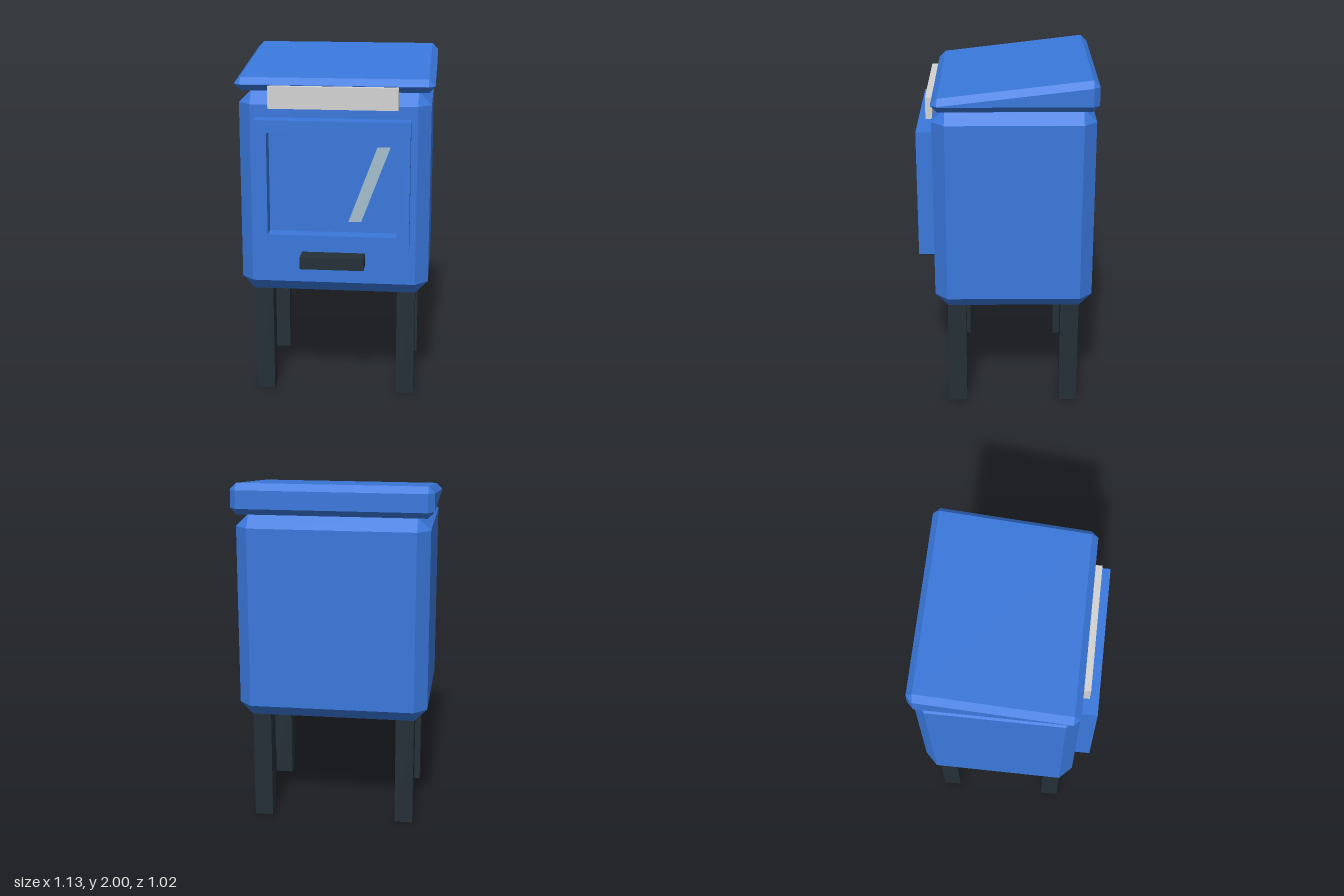
import * as THREE from 'three';
import { ConvexGeometry } from 'three/addons/geometries/ConvexGeometry.js';

const paint = (name, color) => {
  const m = new THREE.MeshStandardMaterial({ color });
  m.name = name;
  return m;
};

// Box with chamfered edges and corners; the top may slope from back to front
function chamferBox(halfX, bottom, topFront, topBack, zBack, zFront, c) {
  const points = [];
  for (const sx of [-1, 1]) for (const sz of [-1, 1]) for (const sy of [-1, 1]) {
    const x = sx * halfX;
    const z = sz > 0 ? zFront : zBack;
    const y = sy < 0 ? bottom : sz > 0 ? topFront : topBack;
    const ix = x - sx * c, iy = y - sy * c, iz = z - sz * c;
    points.push(
      new THREE.Vector3(x, iy, iz),
      new THREE.Vector3(ix, y, iz),
      new THREE.Vector3(ix, iy, z)
    );
  }
  return new ConvexGeometry(points);
}

// Box given by its limits on each axis
function limitBox(x0, x1, y0, y1, z0, z1) {
  return new THREE.BoxGeometry(x1 - x0, y1 - y0, z1 - z0)
    .translate((x0 + x1) / 2, (y0 + y1) / 2, (z0 + z1) / 2);
}

const polygon = (pts) => pts.map(([x, y]) => new THREE.Vector2(x, y));
const rectangle = (hx, y0, y1) => polygon([[-hx, y0], [hx, y0], [hx, y1], [-hx, y1]]);

export function createModel() {
  const group = new THREE.Group();
  const blue = paint('blue enamel', 0x3a78dc);
  const dark = paint('dark metal', 0x252f37);
  const grey = paint('light grey', 0xd2d2d2);
  const glint = paint('pale glass', 0xa3bfcd);

  const add = (name, geometry, material) => {
    const mesh = new THREE.Mesh(geometry, material);
    mesh.name = name;
    group.add(mesh);
  };

  // Cabinet and sloping lid
  add('body', chamferBox(0.546, 0.64, 1.825, 1.825, -0.505, 0.4, 0.073), blue);
  add('lid', chamferBox(0.565, 1.825, 1.9, 2, -0.512, 0.4, 0.036), blue);

  // Raised window frame, open to the cabinet front
  const frame = new THREE.Shape(rectangle(0.437, 0.95, 1.68));
  frame.holes.push(new THREE.Path(rectangle(0.367, 1.02, 1.61)));
  add('windowFrame',
    new THREE.ExtrudeGeometry(frame, { depth: 0.09, bevelEnabled: false }).translate(0, 0, 0.4), blue);

  // Slanted reflection in the window
  const streak = new THREE.Shape(polygon([[0.09, 1.095], [0.163, 1.095], [0.325, 1.53], [0.252, 1.53]]));
  add('windowReflection',
    new THREE.ExtrudeGeometry(streak, { depth: 0.005, bevelEnabled: false }).translate(0, 0, 0.44), glint);

  // Plate under the lid and handle under the window
  add('frontPlate', limitBox(-0.365, 0.365, 1.735, 1.86, 0.4, 0.437), grey);
  add('handle', limitBox(-0.183, 0.183, 0.825, 0.895, 0.4, 0.512), dark);

  // Four square legs
  for (const side of [-1, 1]) for (const [end, z] of [['front', 0.277], ['back', -0.379]]) {
    add(`${end}${side > 0 ? 'Left' : 'Right'}Leg`,
      new THREE.BoxGeometry(0.106, 0.64, 0.106).translate(side * 0.419, 0.32, z), dark);
  }
  return group;
}
